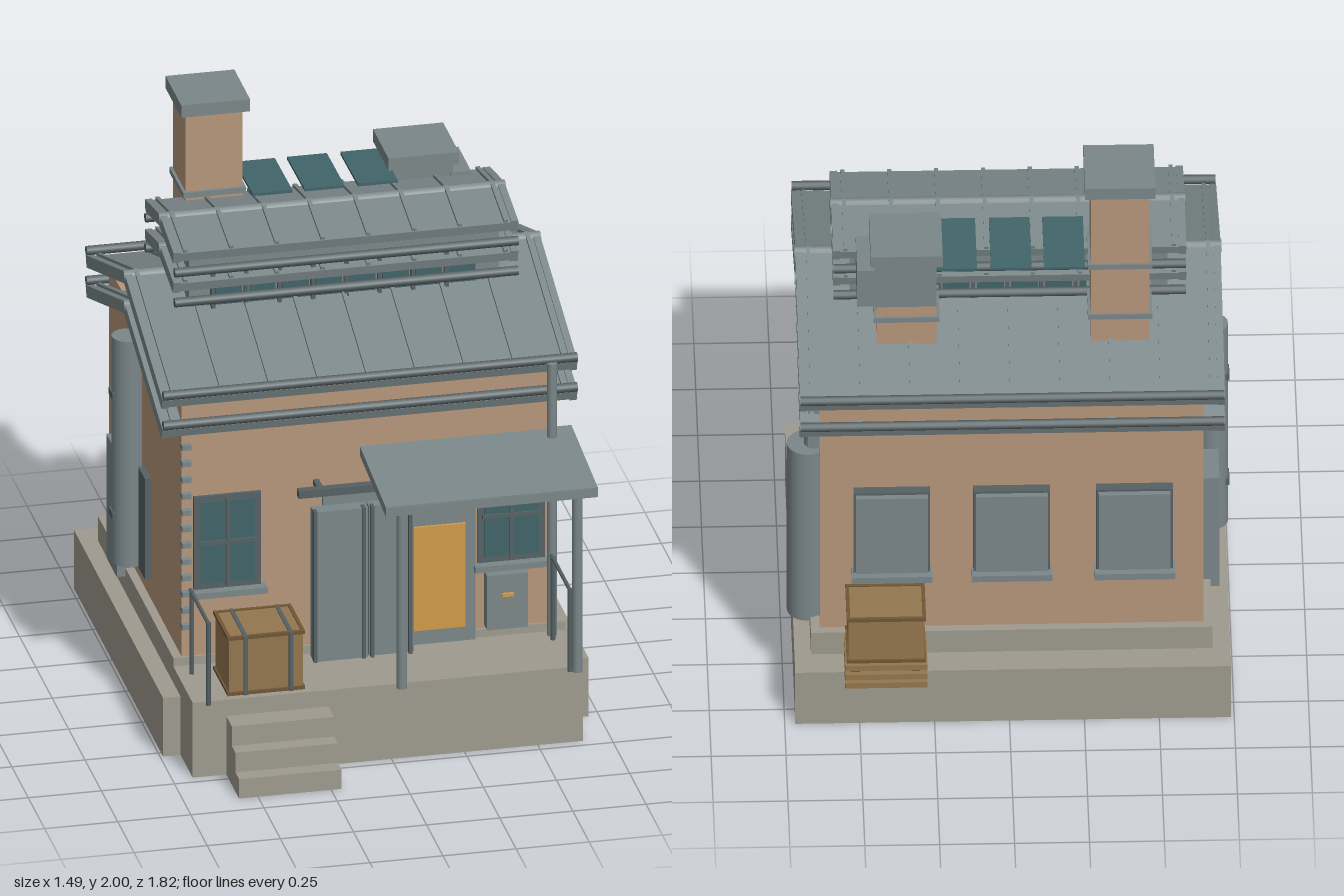
import * as THREE from 'three';

const mat = (name, color) => {
  const m = new THREE.MeshStandardMaterial({ color });
  m.name = name;
  return m;
};

export function createModel() {
  const root = new THREE.Group();
  root.name = 'stationHouse';
  const wall = mat('clay wall', 0xb6967b);
  const stone = mat('stone', 0x9e9a8e);
  const metal = mat('grey metal', 0x7b8789);
  const dark = mat('dark metal', 0x566164);
  const glass = mat('teal glass', 0x41656a);
  const amber = mat('amber panel', 0xd09c48);
  const wood = mat('crate wood', 0x94774f);
  const woodDark = mat('dark wood', 0x705636);

  // box given by its limits
  const box = (name, m, x0, x1, y0, y1, z0, z1) => {
    const b = new THREE.Mesh(new THREE.BoxGeometry(x1 - x0, y1 - y0, z1 - z0), m);
    b.position.set((x0 + x1) / 2, (y0 + y1) / 2, (z0 + z1) / 2);
    b.name = name;
    root.add(b);
    return b;
  };
  // box running from (ya, za) to (yb, zb) in the side plane
  const slope = (name, m, x0, x1, ya, za, yb, zb, t) => {
    const len = Math.hypot(yb - ya, zb - za);
    const b = box(name, m, x0, x1, -t / 2, t / 2, -len / 2, len / 2);
    b.position.set((x0 + x1) / 2, (ya + yb) / 2, (za + zb) / 2);
    b.rotation.x = -Math.atan2(yb - ya, zb - za);
    return b;
  };
  // round bar between two points
  const rod = (name, m, a, b, r, sides = 12) => {
    const p = new THREE.Vector3(...a), q = new THREE.Vector3(...b);
    const d = q.clone().sub(p);
    const c = new THREE.Mesh(new THREE.CylinderGeometry(r, r, d.length(), sides), m);
    c.position.copy(p).add(q).multiplyScalar(0.5);
    c.quaternion.setFromUnitVectors(new THREE.Vector3(0, 1, 0), d.normalize());
    c.name = name;
    root.add(c);
    return c;
  };

  // base, platform and steps
  box('baseSlab', stone, -0.74, 0.715, 0, 0.215, -0.83, 0.53);
  box('frontPlatform', stone, -0.68, 0.655, 0, 0.275, 0.41, 0.715);
  box('plinth', stone, -0.68, 0.66, 0.21, 0.305, -0.73, 0.42);
  for (let i = 0; i < 3; i++)
    box('step', stone, -0.565, -0.215, 0, 0.215 - i * 0.072, 0.7, 0.8 + i * 0.055);

  // walls
  box('walls', wall, -0.65, 0.63, 0.3, 1.235, -0.7, 0.41);
  for (let i = 0; i < 12; i++)
    box('cornerTab', metal, -0.652, -0.62, 0.41 + i * 0.06, 0.428 + i * 0.06, 0.4, 0.432);

  // pitched roofs: each tier has two layers with ribs, eave pipes and end rafters
  const ridgeZ = -0.145;
  function roofTier(name, x0, x1, half, drop, ridgeY, ribs) {
    for (const y of [ridgeY, ridgeY - 0.11]) {
      for (const s of [-1, 1]) {
        const ez = ridgeZ + s * half, ey = y - drop;
        slope(name + 'Slope', metal, x0, x1, y, ridgeZ, ey, ez, 0.032);
        for (let i = 0; i < ribs; i++) {
          const x = x0 + 0.03 + (x1 - x0 - 0.06) * i / (ribs - 1);
          slope(name + 'Rib', metal, x - 0.007, x + 0.007, y + 0.018, ridgeZ, ey + 0.018, ez, 0.018);
        }
        for (const x of [x0, x1])
          slope(name + 'Rafter', metal, x - 0.012, x + 0.012, y, ridgeZ, ey, ez, 0.042);
        const gy = ey + 0.035 - (half < 0.4 ? 0.085 : 0), gz = ez + s * 0.008;
        rod(name + 'EavePipe', dark, [x0 - 0.01, gy, gz], [x1 + 0.01, gy, gz], 0.016);
      }
      rod(name + 'RidgeCap', metal, [x0 - 0.015, y + 0.004, ridgeZ], [x1 + 0.015, y + 0.004, ridgeZ], 0.021);
    }
  }
  roofTier('mainRoof', -0.71, 0.685, 0.58, 0.205, 1.455, 9);
  roofTier('lanternRoof', -0.59, 0.565, 0.215, 0.045, 1.655, 8);

  // raised lantern with a window strip on both sides
  box('lanternWall', metal, -0.54, 0.52, 1.23, 1.6, -0.32, 0.035);
  for (let i = 0; i < 8; i++) {
    const x = -0.45 + i * 0.114;
    for (const [a, b, c] of [[0.03, 0.04, 0.052], [-0.325, -0.317, -0.337]]) {
      box('lanternPane', glass, x, x + 0.09, 1.41, 1.52, a, b);
      box('lanternPost', dark, x - 0.018, x - 0.004, 1.4, 1.53, Math.min(a, c), Math.max(b, c));
    }
  }

  // raised glass panels behind the ridge
  for (const x of [-0.26, -0.082, 0.1])
    slope('skylight', glass, x, x + 0.136, 1.665, -0.245, 1.66, -0.515, 0.01);

  // chimneys
  box('tallChimney', wall, -0.475, -0.28, 1.2, 1.96, -0.505, -0.31);
  box('tallChimneyCap', metal, -0.495, -0.26, 1.955, 2, -0.525, -0.285);
  box('tallChimneyBand', metal, -0.485, -0.27, 1.65, 1.67, -0.513, -0.3);
  box('tallChimneyBand', metal, -0.485, -0.27, 1.44, 1.46, -0.513, -0.3);
  box('shortChimney', wall, 0.235, 0.435, 1.2, 1.5, -0.505, -0.31);
  box('shortChimneyBand', metal, 0.225, 0.445, 1.44, 1.46, -0.513, -0.3);
  box('shortChimneyHood', metal, 0.235, 0.44, 1.49, 1.69, -0.505, -0.31);
  box('hoodVent', metal, 0.43, 0.5, 1.5, 1.65, -0.5, -0.305);
  box('shortChimneyCap', metal, 0.215, 0.455, 1.685, 1.73, -0.53, -0.29);

  // front windows
  for (const x of [-0.495, 0.475]) {
    box('windowFrame', dark, x - 0.115, x + 0.115, 0.55, 0.89, 0.4, 0.422);
    box('windowGlass', glass, x - 0.093, x + 0.093, 0.572, 0.87, 0.42, 0.427);
    box('windowBar', dark, x - 0.007, x + 0.007, 0.56, 0.88, 0.42, 0.434);
    box('windowBar', dark, x - 0.1, x + 0.1, 0.715, 0.728, 0.42, 0.434);
    box('windowSill', metal, x - 0.13, x + 0.13, 0.528, 0.55, 0.4, 0.455);
  }

  // back shuttered windows
  for (const x of [-0.42, -0.01, 0.39]) {
    box('backShutter', metal, x - 0.12, x + 0.12, 0.57, 0.885, -0.755, -0.69);
    box('backShutterFrame', dark, x - 0.128, x + 0.128, 0.56, 0.893, -0.735, -0.69);
    box('backSill', metal, x - 0.135, x + 0.135, 0.535, 0.56, -0.765, -0.69);
  }

  // sliding doors, amber panel and hanging rail
  box('doorSurround', metal, -0.17, 0.35, 0.275, 0.86, 0.4, 0.43);
  box('amberPanel', amber, 0.13, 0.315, 0.33, 0.71, 0.425, 0.44);
  box('slidingDoor', metal, -0.215, -0.03, 0.275, 0.825, 0.44, 0.49);
  box('slidingDoor', metal, -0.025, 0.13, 0.275, 0.825, 0.44, 0.48);
  for (const x of [-0.21, -0.045, -0.015, 0.115])
    box('doorTrim', dark, x - 0.006, x + 0.006, 0.275, 0.83, 0.47, 0.497);
  box('doorRail', dark, -0.27, 0.43, 0.888, 0.915, 0.475, 0.505);
  for (const x of [-0.2, 0.36]) box('railBracket', dark, x, x + 0.02, 0.89, 0.91, 0.41, 0.48);

  // meter box
  box('meterBox', metal, 0.385, 0.525, 0.315, 0.515, 0.4, 0.455);
  box('meterHandle', amber, 0.435, 0.475, 0.436, 0.448, 0.455, 0.464);

  // porch canopy, posts and handrails
  slope('canopy', metal, -0.04, 0.685, 1.0, 0.4, 0.953, 0.803, 0.034);
  box('canopyFascia', metal, -0.04, 0.685, 0.936, 0.968, 0.795, 0.808);
  for (const x of [0.02, 0.62]) rod('canopyPost', metal, [x, 0.29, 0.78], [x, 0.95, 0.78], 0.018);
  for (const x of [-0.635, 0.6]) {
    rod('handrail', dark, [x, 0.58, 0.48], [x, 0.58, 0.755], 0.007, 8);
    for (const z of [0.5, 0.755]) rod('handrailPost', dark, [x, 0.28, z], [x, 0.585, z], 0.008, 8);
  }
  rod('downspout', metal, [0.605, 0.28, 0.46], [0.605, 1.28, 0.46], 0.017);

  // crates
  const crate = (x0, x1, y0, y1, z0, z1) => {
    box('crate', wood, x0 + 0.006, x1 - 0.006, y0, y1 - 0.004, z0 + 0.006, z1 - 0.006);
    for (const y of [y0, y1 - 0.012]) {
      for (const z of [z0, z1 - 0.012]) box('crateEdge', woodDark, x0, x1, y, y + 0.012, z, z + 0.012);
      for (const x of [x0, x1 - 0.012]) box('crateEdge', woodDark, x, x + 0.012, y, y + 0.012, z0, z1);
    }
  };
  crate(-0.555, -0.29, 0.275, 0.49, 0.47, 0.69);
  for (const x of [-0.5, -0.345]) box('crateStrap', dark, x, x + 0.014, 0.275, 0.49, 0.466, 0.695);
  crate(0.28, 0.545, 0.305, 0.49, -0.9, -0.705);
  for (const y of [0.205, 0.24, 0.278]) box('palletSlat', wood, 0.275, 0.55, y, y + 0.022, -0.907, -0.7);
  for (const x of [0.3, 0.5]) box('palletRunner', woodDark, x, x + 0.03, 0.21, 0.3, -0.89, -0.72);

  // tank and hood on the +x side
  rod('tank', metal, [0.668, 0.29, -0.575], [0.668, 0.99, -0.575], 0.069, 24);
  rod('tankNeck', metal, [0.645, 0.98, -0.575], [0.645, 1.06, -0.575], 0.035, 16);
  box('tankHood', metal, 0.57, 0.668, 1.04, 1.22, -0.665, -0.485);

  // pipe, clips and cabinet on the -x side
  rod('sidePipe', metal, [-0.69, 0.37, -0.23], [-0.69, 1.2, -0.23], 0.055, 20);
  for (const y of [0.55, 0.99]) box('pipeClip', dark, -0.749, -0.64, y - 0.012, y + 0.012, -0.26, -0.2);
  box('sideCabinet', metal, -0.71, -0.64, 0.275, 0.73, -0.47, -0.31);
  box('sidePlate', dark, -0.672, -0.645, 0.38, 0.75, -0.15, -0.05);

  return root;
}
